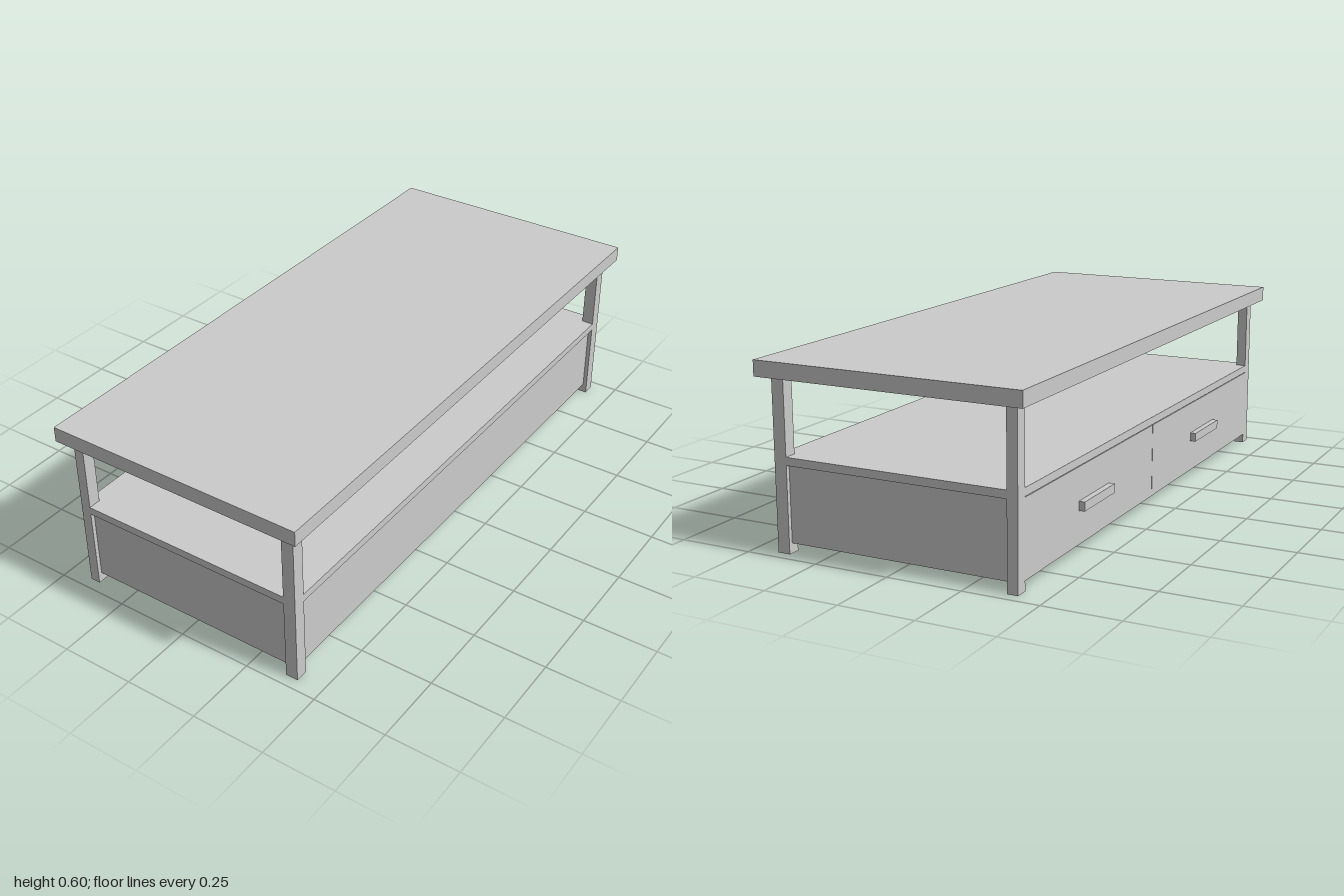
import * as THREE from 'three';

export function createModel() {
  const group = new THREE.Group();
  const material = new THREE.MeshStandardMaterial({ color: 0xcccccc, flatShading: true });

  // Box given by its minimum and maximum on each axis
  function box(name, [x0, x1], [y0, y1], [z0, z1]) {
    const mesh = new THREE.Mesh(new THREE.BoxGeometry(x1 - x0, y1 - y0, z1 - z0), material);
    mesh.position.set((x0 + x1) / 2, (y0 + y1) / 2, (z0 + z1) / 2);
    mesh.name = name;
    group.add(mesh);
  }

  const outX = 0.413, outZ = 0.963; // outer faces of the legs
  const inZ = 0.92;                 // inner faces of the legs
  const legTop = 0.553, shelfBottom = 0.28, shelfTop = 0.306, bodyBottom = 0.032;
  const recess = 0.014;

  // Table top
  box('tableTop', [-0.449, 0.449], [legTop, 0.604], [-1, 1]);

  // Legs, split around the shelf that runs flush with them
  for (const [z0, z1] of [[-outZ, -inZ], [inZ, outZ]]) {
    for (const [x0, x1] of [[-outX, -0.378], [0.371, outX]]) {
      box('lowerLeg', [x0, x1], [0, shelfBottom], [z0, z1]);
      box('upperLeg', [x0, x1], [shelfTop, legTop], [z0, z1]);
    }
  }

  // Open shelf
  box('shelf', [-outX, outX], [shelfBottom, shelfTop], [-outZ, outZ]);

  // Cabinet body, set back from the legs on three sides
  box('cabinetBody', [-0.378, outX - recess], [bodyBottom, shelfBottom],
    [-outZ + recess, outZ - recess]);

  // Two drawer fronts flush with the legs, each with a bar handle
  for (const side of [-1, 1]) {
    const span = (a, b) => [Math.min(side * a, side * b), Math.max(side * a, side * b)];
    box('drawerFront', [-outX, -0.378], [bodyBottom, shelfBottom - 0.002], span(0.001, inZ));
    box('drawerHandle', [-0.433, -outX], [0.14, 0.17], span(0.35, 0.57));
  }

  return group;
}
